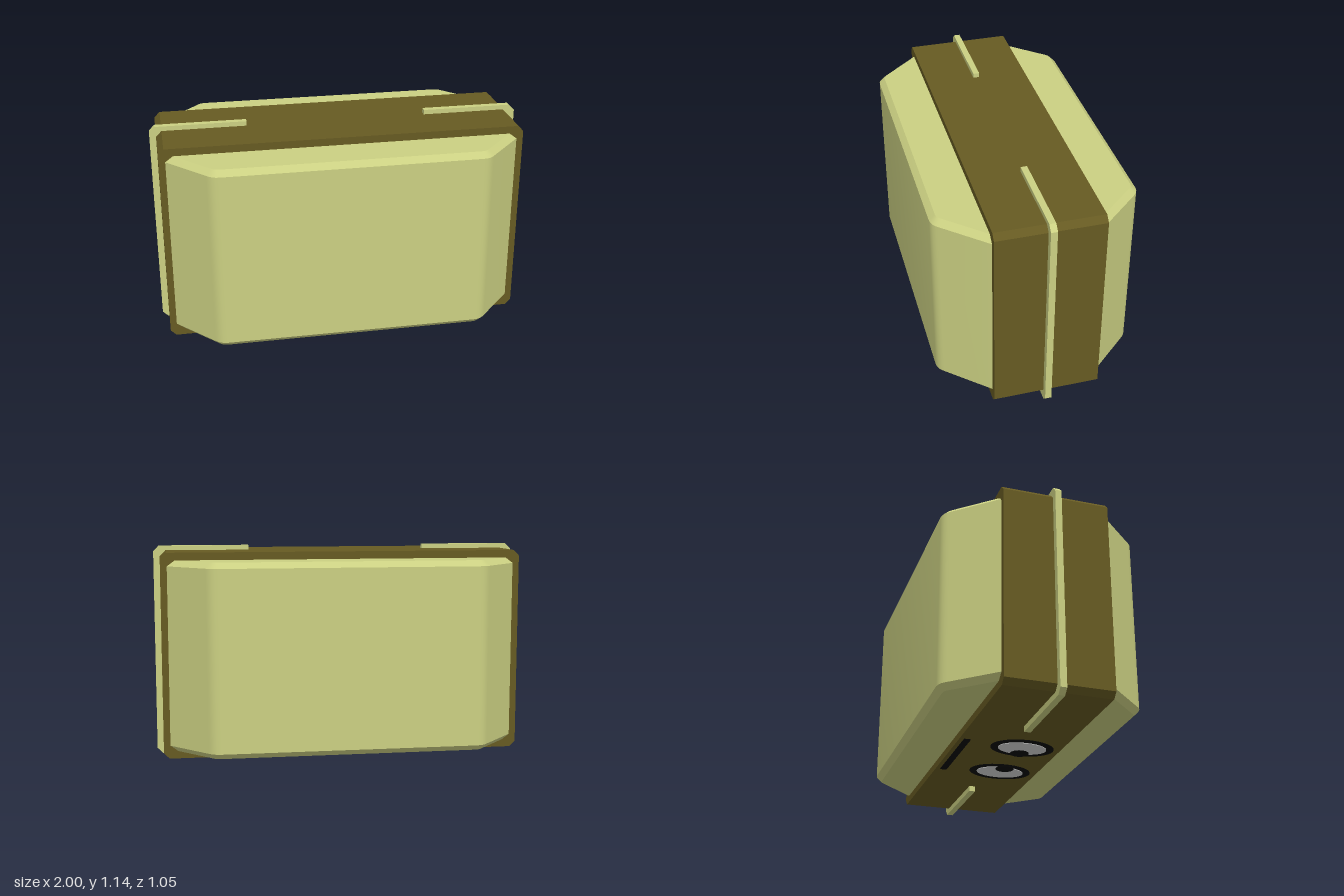
import * as THREE from 'three';
import { toCreasedNormals } from 'three/addons/utils/BufferGeometryUtils.js';

const khaki = new THREE.MeshStandardMaterial({ color: 0xcbd082 });
khaki.name = 'khaki';
const brown = new THREE.MeshStandardMaterial({ color: 0x665a22 });
brown.name = 'brown';
const black = new THREE.MeshStandardMaterial({ color: 0x060606 });
black.name = 'black';
const paleGrey = new THREE.MeshStandardMaterial({ color: 0xd6d6d6 });
paleGrey.name = 'pale grey';

function addMesh(parent, name, geometry, material) {
  const mesh = new THREE.Mesh(geometry, material);
  mesh.name = name;
  parent.add(mesh);
  return mesh;
}

function polygon(points) {
  return new THREE.Shape(points.map(([x, y]) => new THREE.Vector2(x, y)));
}

// Extrude along z, centred on z = 0
function slab(points, depth) {
  return new THREE.ExtrudeGeometry(polygon(points), { depth, bevelEnabled: false })
    .translate(0, 0, -depth / 2);
}

// Mirror one quadrant of an outline into a closed loop
function mirrorQuadrant(quarter) {
  const right = [...quarter.map(([x, y]) => [x, -y]).reverse(), ...quarter];
  return [...right, ...right.map(([x, y]) => [-x, -y])];
}

// Main shell: eight-sided footprint with softened corners and a bevelled top and bottom
function createShell() {
  const outline = mirrorQuadrant([
    [0.93, 0.28], [0.74, 0.49], [0.728, 0.503], [0.712, 0.515], [0.695, 0.522], [0.675, 0.525],
  ]);
  const bevel = 0.03;
  const geometry = new THREE.ExtrudeGeometry(polygon(outline), {
    depth: 1.01 - bevel * 2,
    bevelThickness: bevel, bevelSize: bevel, bevelOffset: -bevel, bevelSegments: 1,
  });
  geometry.rotateX(-Math.PI / 2).translate(0, 0.07 + bevel, 0);
  return toCreasedNormals(geometry, 0.5);
}

// Thin round plate facing down
function disc(parent, name, material, x, y, z, rx, rz) {
  const mesh = addMesh(parent, name, new THREE.CylinderGeometry(1, 1, 0.004, 40), material);
  mesh.scale.set(rx, 1, rz);
  mesh.position.set(x, y, z);
}

export function createModel() {
  const model = new THREE.Group();
  model.name = 'case';

  addMesh(model, 'shell', createShell(), khaki);

  // Broad band around the middle
  const band = mirrorQuadrant([[0.965, 0.515], [0.935, 0.545]]);
  addMesh(model, 'band', slab(band, 0.56).translate(0, 0.575, 0), brown);

  // C-shaped rails wrapping each end
  const rail = [
    [0.485, 0], [0.97, 0], [1, 0.03], [1, 1.115], [0.97, 1.145], [0.485, 1.145],
    [0.485, 1.1], [0.93, 1.1], [0.93, 0.045], [0.485, 0.045],
  ];
  for (const [side, name] of [[1, 'leftRail'], [-1, 'rightRail']]) {
    const mesh = addMesh(model, name, slab(rail, 0.034), khaki);
    if (side < 0) mesh.rotation.y = Math.PI;
  }

  // Painted face on the underside
  const face = new THREE.Group();
  face.name = 'face';
  model.add(face);
  for (const side of [1, -1]) {
    disc(face, 'eyeRim', black, side * 0.193, 0.029, 0.073, 0.118, 0.172);
    disc(face, 'eyeWhite', paleGrey, side * 0.193, 0.026, 0.073, 0.083, 0.132);
    disc(face, 'pupil', black, side * 0.127, 0.023, 0.08, 0.046, 0.05);
  }
  addMesh(face, 'mouth', new THREE.BoxGeometry(0.48, 0.004, 0.036), black)
    .position.set(0.01, 0.029, -0.238);

  return model;
}
